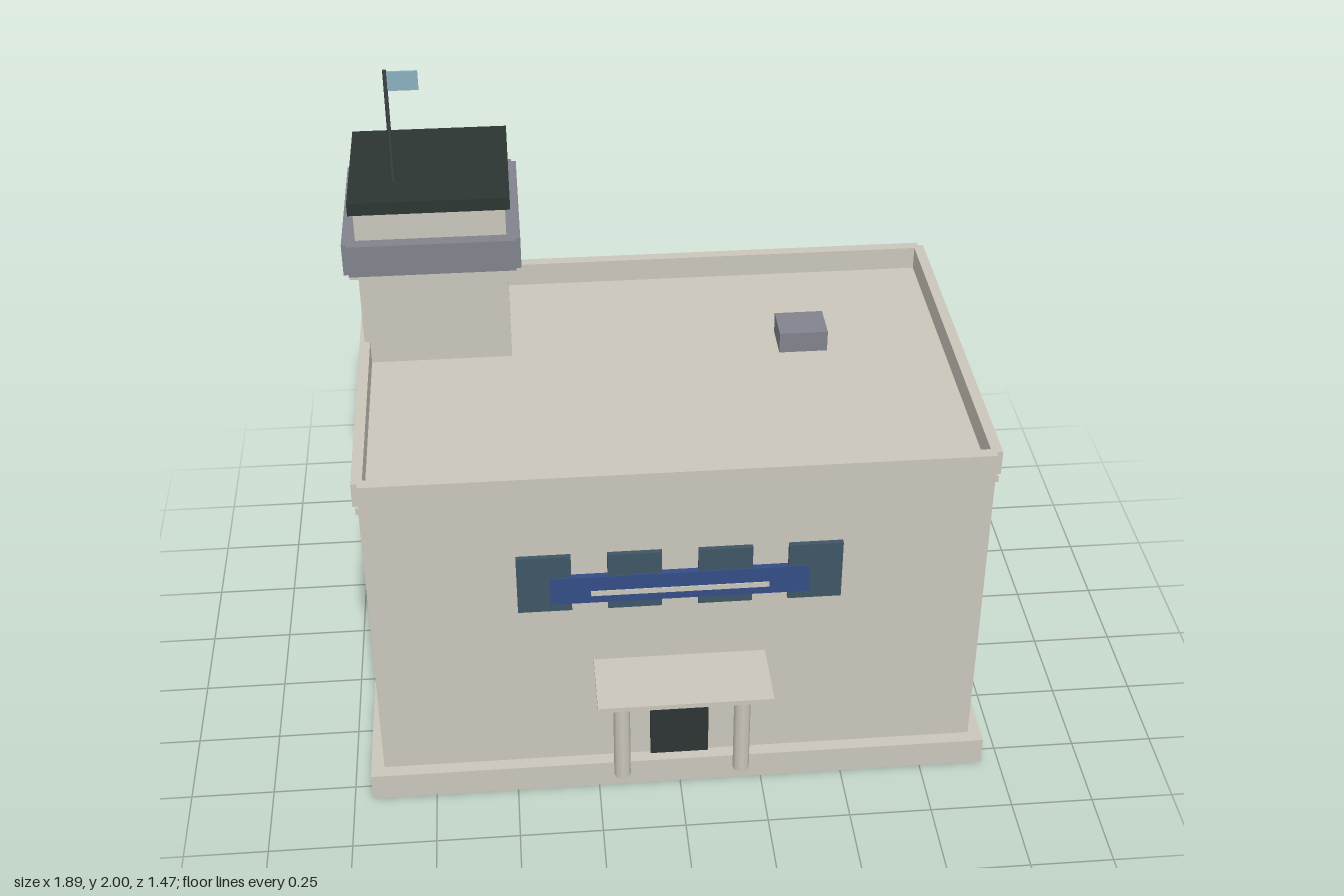
import * as THREE from 'three';

const mat = (name, color) => new THREE.MeshStandardMaterial({ name, color });

export function createModel() {
  const wall = mat('wall beige', 0xcac6bb);
  const dark = mat('dark roof', 0x2c3533);
  const band = mat('band grey', 0x81838d);
  const darkGlass = mat('dark glass', 0x3e5665);
  const lightGlass = mat('light glass', 0x8bafc0);
  const blue = mat('sign blue', 0x344d86);
  const pole = mat('pole grey', 0x3c4346);

  const model = new THREE.Group();
  model.name = 'building';

  const add = (name, geometry, material) => {
    const mesh = new THREE.Mesh(geometry, material);
    mesh.name = name;
    model.add(mesh);
    return mesh;
  };

  // Box given by its lower and upper limits on each axis
  const box = (name, material, x0, x1, y0, y1, z0, z1) =>
    add(name, new THREE.BoxGeometry(x1 - x0, y1 - y0, z1 - z0), material)
      .position.set((x0 + x1) / 2, (y0 + y1) / 2, (z0 + z1) / 2);

  // Rectangular ring whose outer corners are notched by n
  const notchedRing = (name, material, cx, cz, hx, hz, n, ix, iz, y0, y1) => {
    const points = [];
    for (const [sx, sy] of [[1, 1], [-1, 1], [-1, -1], [1, -1]]) {
      const corner = [[hx, hz - n], [hx - n, hz - n], [hx - n, hz]];
      if (sx * sy < 0) corner.reverse();
      for (const [x, y] of corner) points.push(new THREE.Vector2(sx * x, sy * y));
    }
    const shape = new THREE.Shape(points);
    shape.holes.push(new THREE.Path([
      new THREE.Vector2(-ix, -iz), new THREE.Vector2(-ix, iz),
      new THREE.Vector2(ix, iz), new THREE.Vector2(ix, -iz),
    ]));
    const geometry = new THREE.ExtrudeGeometry(shape, { depth: y1 - y0, bevelEnabled: false });
    geometry.rotateX(-Math.PI / 2);
    add(name, geometry, material).position.set(cx, y0, cz);
  };

  // Main block
  const cz = -0.0885;
  box('plinth', wall, -0.945, 0.945, 0, 0.09, -0.735, 0.555);
  box('mainBlock', wall, -0.905, 0.905, 0.09, 1.08, -0.69, 0.515);
  box('cornice', wall, -0.912, 0.912, 1.058, 1.079, -0.697, 0.522);
  notchedRing('parapet', wall, 0, cz, 0.92, 0.618, 0.018, 0.888, 0.583, 1.079, 1.155);
  box('roofVent', band, 0.375, 0.525, 1.08, 1.148, -0.31, -0.185);

  // Corner tower
  const tx = -0.68, tz = -0.465;
  box('tower', wall, -0.905, -0.455, 1.08, 1.6, -0.69, -0.237);
  box('towerLedge', wall, tx - 0.25, tx + 0.25, 1.39, 1.5, tz - 0.252, tz + 0.252);
  notchedRing('towerBand', band, tx, tz, 0.266, 0.268, 0.015, 0.22, 0.22, 1.408, 1.51);
  box('towerRoof', dark, -0.92, -0.44, 1.6, 1.64, -0.707, -0.225);

  // Flagpole and flag
  add('flagpole', new THREE.CylinderGeometry(0.006, 0.006, 0.36, 8), pole)
    .position.set(-0.785, 1.82, -0.36);
  box('flag', lightGlass, -0.782, -0.69, 1.935, 1.995, -0.364, -0.358);

  // Windows: one row in front, two rows at the back
  for (const x of [-0.395, -0.132, 0.132, 0.395]) {
    const x0 = x - 0.079, x1 = x + 0.079;
    box('frontWindow', darkGlass, x0, x1, 0.68, 0.875, 0.51, 0.53);
    box('backUpperWindow', darkGlass, x0, x1, 0.68, 0.875, -0.706, -0.685);
    box('backLowerWindow', lightGlass, x0, x1, 0.288, 0.483, -0.706, -0.685);
  }

  // Sign board with a pale stripe
  box('signBoard', blue, -0.378, 0.378, 0.707, 0.8, 0.51, 0.534);
  box('signStripe', wall, -0.26, 0.26, 0.733, 0.75, 0.532, 0.537);

  // Entrance
  box('door', dark, -0.089, 0.089, 0.09, 0.44, 0.51, 0.524);
  box('canopy', wall, -0.257, 0.257, 0.458, 0.474, 0.51, 0.735);
  for (const x of [-0.181, 0.181]) {
    add('column', new THREE.CylinderGeometry(0.025, 0.025, 0.368, 8).toNonIndexed(), wall)
      .position.set(x, 0.274, 0.605);
  }

  return model;
}
